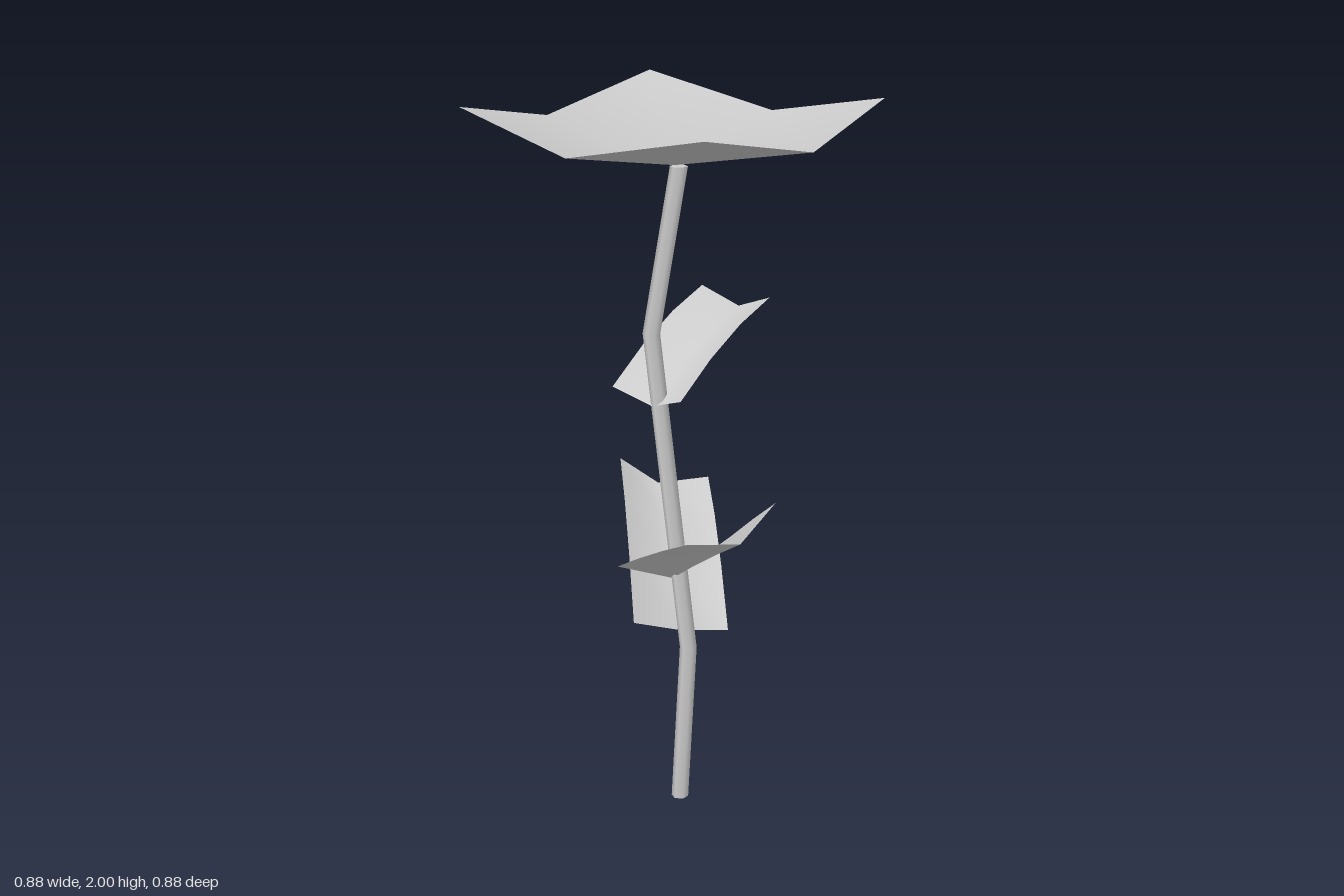
import * as THREE from 'three';

const material = new THREE.MeshStandardMaterial({ color: 0xcccccc });
const thin = new THREE.MeshStandardMaterial({ color: 0xcccccc, side: THREE.DoubleSide });

// Thin smooth sheet from rows of points, each row running left to right
function sheet(name, rows) {
  const cols = rows[0].length;
  const index = [];
  for (let r = 0; r < rows.length - 1; r++) {
    for (let c = 0; c < cols - 1; c++) {
      const a = r * cols + c, b = a + 1, d = a + cols, e = d + 1;
      index.push(a, b, d, b, e, d);
    }
  }
  const geometry = new THREE.BufferGeometry();
  geometry.setAttribute('position', new THREE.Float32BufferAttribute(rows.flat(2), 3));
  geometry.setIndex(index);
  geometry.computeVertexNormals();
  const mesh = new THREE.Mesh(geometry, thin);
  mesh.name = name;
  return mesh;
}

// Folded leaf: left edge, midrib and right edge run from base to tip and arch upward
function leaf(name, base, tip, arch) {
  const rows = [];
  for (let i = 0; i <= 3; i++) {
    const t = i / 3;
    rows.push(base.map((p, c) => {
      const q = p.map((v, k) => v + (tip[c][k] - v) * t);
      q[1] += arch * Math.sin(Math.PI * t);
      return q;
    }));
  }
  return sheet(name, rows);
}

// Six-sided stem, each ring shifted sideways to make the bends
function stem() {
  const height = 1.835, segments = 4;
  const offsets = [[0.02, 0], [0.03, -0.025], [0, 0.018], [-0.05, 0.037], [0.017, 0.003]];
  const geometry = new THREE.CylinderGeometry(0.024, 0.024, height, 6, segments);
  geometry.translate(0, height / 2, 0);
  const pos = geometry.attributes.position;
  for (let i = 0; i < pos.count; i++) {
    const [dx, dz] = offsets[Math.round(pos.getY(i) / height * segments)];
    pos.setXYZ(i, pos.getX(i) + dx, pos.getY(i), pos.getZ(i) + dz);
  }
  const mesh = new THREE.Mesh(geometry, material);
  mesh.name = 'stem';
  return mesh;
}

// Shallow flower head: edges and corners rise from the centre
function flowerHead() {
  const rows = [1, 0, -1].map((z) => [-1, 0, 1].map((x) => {
    const steps = Math.abs(x) + Math.abs(z);
    const reach = steps === 2 ? 0.395 : 0.44;
    return [x * reach, [1.835, 1.92, 2][steps], z * reach];
  }));
  return sheet('flowerHead', rows);
}

export function createModel() {
  const group = new THREE.Group();
  group.name = 'flower';
  group.add(
    stem(),
    flowerHead(),
    leaf('upperLeaf',
      [[-0.16, 1.215, 0.07], [-0.042, 1.175, 0.045], [0.075, 1.215, 0.07]],
      [[-0.16, 1.42, -0.335], [-0.042, 1.375, -0.35], [0.075, 1.42, -0.335]], 0.025),
    leaf('middleLeaf',
      [[0.03, 0.71, -0.125], [-0.01, 0.665, -0.005], [-0.115, 0.71, 0.11]],
      [[0.425, 1.02, 0.12], [0.4, 0.935, 0.24], [0.325, 0.955, 0.37]], 0.005),
    leaf('lowerLeaf',
      [[-0.05, 0.56, 0.12], [0, 0.505, -0.02], [0.11, 0.505, -0.105]],
      [[-0.375, 0.885, -0.225], [-0.32, 0.79, -0.335], [-0.21, 0.805, -0.435]], 0.043),
  );
  return group;
}
